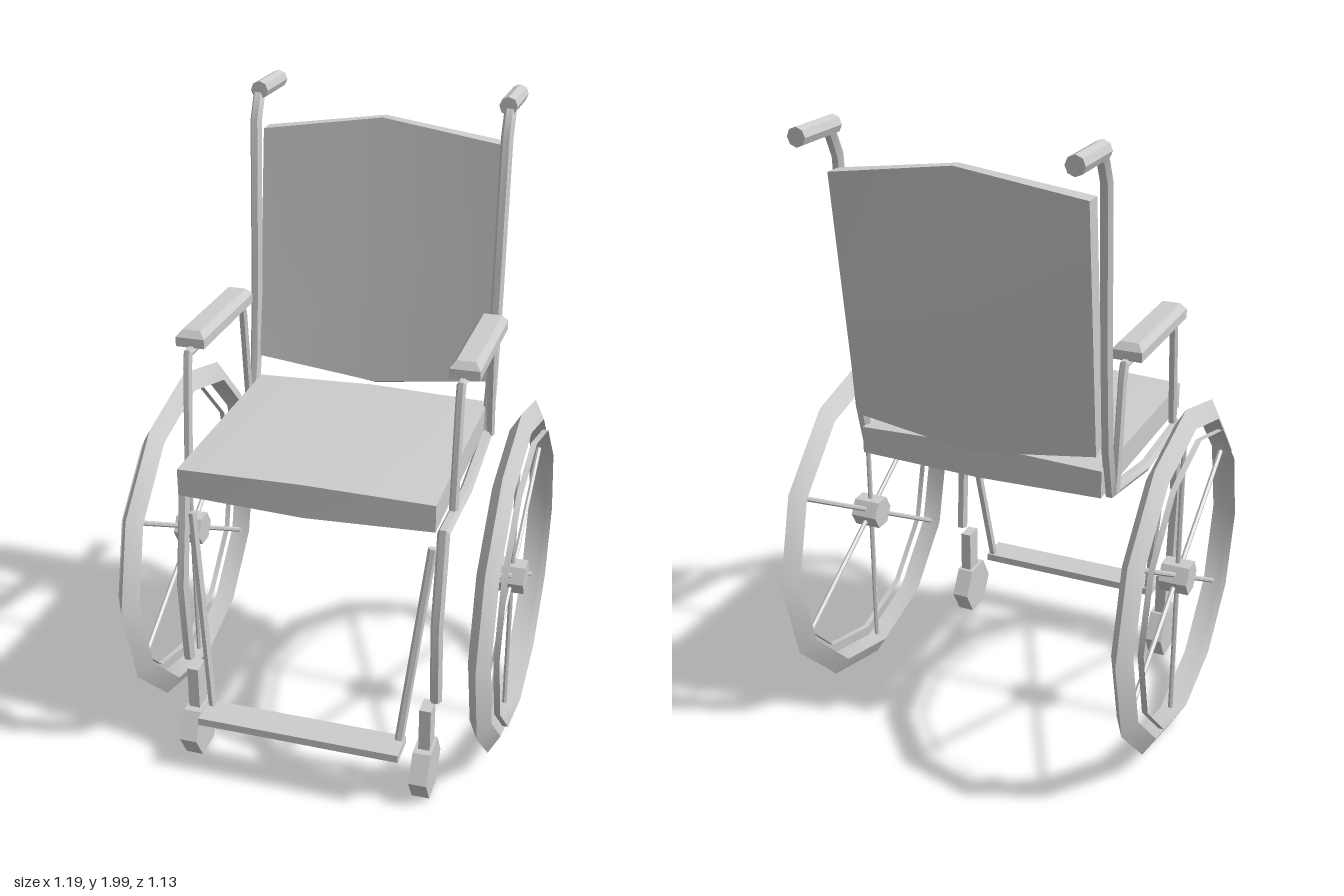
import * as THREE from 'three';
import { toCreasedNormals } from 'three/addons/utils/BufferGeometryUtils.js';

const grey = new THREE.MeshStandardMaterial({ color: 0xcccccc, side: THREE.DoubleSide });
grey.name = 'light grey';

const V = (x, y, z) => new THREE.Vector3(x, y, z);

export function createModel() {
  const model = new THREE.Group();
  model.name = 'wheelchair';

  function add(name, geometry, x = 0, y = 0, z = 0, parent = model) {
    const mesh = new THREE.Mesh(toCreasedNormals(geometry, 0.6), grey);
    mesh.name = name;
    mesh.position.set(x, y, z);
    parent.add(mesh);
    return mesh;
  }

  // Straight bar between two points
  function bar(name, a, b, r, sides, parent) {
    const mesh = add(name, new THREE.CylinderGeometry(r, r, a.distanceTo(b), sides), 0, 0, 0, parent);
    mesh.position.copy(a).add(b).multiplyScalar(0.5);
    mesh.quaternion.setFromUnitVectors(V(0, 1, 0), b.clone().sub(a).normalize());
    return mesh;
  }

  // Bent tube through [y, z] points in a plane of constant x, with mitred joints
  function bentTube(name, x, points, r, sides, parent) {
    const pts = points.map(([y, z]) => V(x, y, z));
    const path = new THREE.CurvePath();
    for (let i = 1; i < pts.length; i++) path.add(new THREE.LineCurve3(pts[i - 1], pts[i]));
    const pos = [], index = [];
    pts.forEach((p, i) => {
      const before = i ? p.clone().sub(pts[i - 1]).normalize() : null;
      const after = i < pts.length - 1 ? pts[i + 1].clone().sub(p).normalize() : null;
      const t = (before || after).clone().add(after || before).normalize();
      const stretch = 1 / Math.max(0.5, t.dot(before || after));
      for (let k = 0; k < sides; k++) {
        const a = (k / sides) * Math.PI * 2;
        const n = Math.sin(a) * r * stretch;
        pos.push(p.x + Math.cos(a) * r, p.y - t.z * n, p.z + t.y * n);
        const k2 = (k + 1) % sides, c = i * sides, d = c + sides;
        if (after) index.push(c + k, c + k2, d + k, c + k2, d + k2, d + k);
      }
    });
    // End caps
    const last = (pts.length - 1) * sides;
    for (let k = 1; k < sides - 1; k++) {
      index.push(0, k + 1, k, last, last + k, last + k + 1);
    }
    const g = new THREE.BufferGeometry();
    g.setAttribute('position', new THREE.Float32BufferAttribute(pos, 3));
    g.setIndex(index);
    add(name, g, 0, 0, 0, parent);
  }

  // Box reshaped by a rule taking u, v, w in -1..1
  function shaped(name, segs, rule) {
    const g = new THREE.BoxGeometry(2, 2, 2, ...segs);
    const p = g.attributes.position;
    for (let i = 0; i < p.count; i++) p.setXYZ(i, ...rule(p.getX(i), p.getY(i), p.getZ(i)));
    add(name, g);
  }

  const mix = THREE.MathUtils.lerp;

  // Cushion, slightly crowned above and sagging below
  shaped('seat', [2, 1, 2], (u, v, w) => {
    const mid = 1 - Math.abs(u), core = mid * (1 - Math.abs(w));
    const y = v > 0 ? 1.03 + 0.012 * mid : 0.945 - 0.01 * mid - 0.012 * core;
    return [u * 0.39, y, w > 0 ? 0.44 + 0.01 * mid : w < 0 ? -0.29 : 0.08];
  });

  // Reclined backrest with pointed top and bottom edges and a hollow front
  shaped('backrest', [2, 2, 1], (u, v, w) => {
    const mid = 1 - Math.abs(u), core = mid * (1 - Math.abs(v)), t = (v + 1) / 2;
    const y = mix(1.11, 1.85, t) + 0.055 * v * mid - (w < 0 ? 0.02 * (1 - t) : 0);
    const z = w > 0
      ? mix(-0.27, -0.365, t) - 0.02 * mid - 0.01 * core
      : mix(-0.325, -0.42, t) - 0.004 * mid - 0.012 * core;
    return [u * 0.385, y, z];
  });

  // Footplate
  add('footplate', new THREE.BoxGeometry(0.64, 0.025, 0.1), 0, 0.212, 0.497);

  for (const s of [1, -1]) {
    const side = s > 0 ? 'left' : 'right';

    // Main frame: push post, seat rail and front leg in one bent tube
    bentTube(side + 'Frame', s * 0.4, [
      [1.965, -0.39], [1.95, -0.37], [1.88, -0.337], [1.4, -0.305], [1.1, -0.275], [0.945, -0.235],
      [0.893, 0.07], [0.908, 0.375], [0.84, 0.385], [0.62, 0.425], [0.345, 0.405],
    ], 0.019, 6);
    const grip = add(side + 'PushHandle', new THREE.CylinderGeometry(0.028, 0.028, 0.19, 8), s * 0.395, 1.97, -0.455);
    grip.rotation.x = Math.PI / 2;

    // Armrest support and bevelled pad
    bentTube(side + 'ArmSupport', s * 0.412, [
      [0.95, 0.305], [1.28, 0.272], [1.325, 0.262], [1.325, -0.185], [1.28, -0.197], [0.945, -0.23],
    ], 0.014, 6);
    shaped(side + 'ArmPad', [1, 2, 1], (u, v, w) => {
      const inset = v > 0 ? 0.017 : 0;
      const y = v > 0 ? 1.383 : v < 0 ? 1.333 : 1.362;
      return [s * 0.415 + u * (0.045 - inset), y, 0.032 + w * (0.208 - inset)];
    });

    // Footrest hanger
    bar(side + 'FootHanger', V(s * 0.372, 0.86, 0.385), V(s * 0.303, 0.22, 0.465), 0.014, 6);

    // Front caster and its fork
    const caster = add(side + 'Caster', new THREE.CylinderGeometry(0.095, 0.095, 0.056, 6), s * 0.374, 0.1, 0.418);
    caster.rotation.set(Math.PI / 2, 0, Math.PI / 2);
    caster.rotation.set(0, 0, Math.PI / 2);
    add(side + 'CasterFork', new THREE.BoxGeometry(0.036, 0.165, 0.062), s * 0.376, 0.243, 0.412);

    // Large rear wheel: tyre, hand rim, hub and spokes
    const wheel = new THREE.Group();
    wheel.name = side + 'Wheel';
    wheel.position.set(s * 0.545, 0.573, 0);
    model.add(wheel);
    add('tyre', new THREE.TorusGeometry(0.5245, 0.0385, 3, 12), 0, 0, 0, wheel).rotation.y = Math.PI / 2;
    const rim = new THREE.CylinderGeometry(0.472, 0.472, 0.018, 12, 1, true);
    add('handRim', rim, s * 0.043, 0, 0, wheel).rotation.z = Math.PI / 2;
    const hub = new THREE.CylinderGeometry(0.054, 0.054, 0.09, 6);
    add('hub', hub, 0, 0, 0, wheel).rotation.z = Math.PI / 2;
    for (let i = 0; i < 3; i++) {
      const a = Math.PI / 2 + (i * Math.PI) / 3;
      const tip = V(0, Math.sin(a) * 0.492, Math.cos(a) * 0.492);
      bar('spoke', tip, tip.clone().negate(), 0.008, 6, wheel);
    }
  }

  return model;
}
